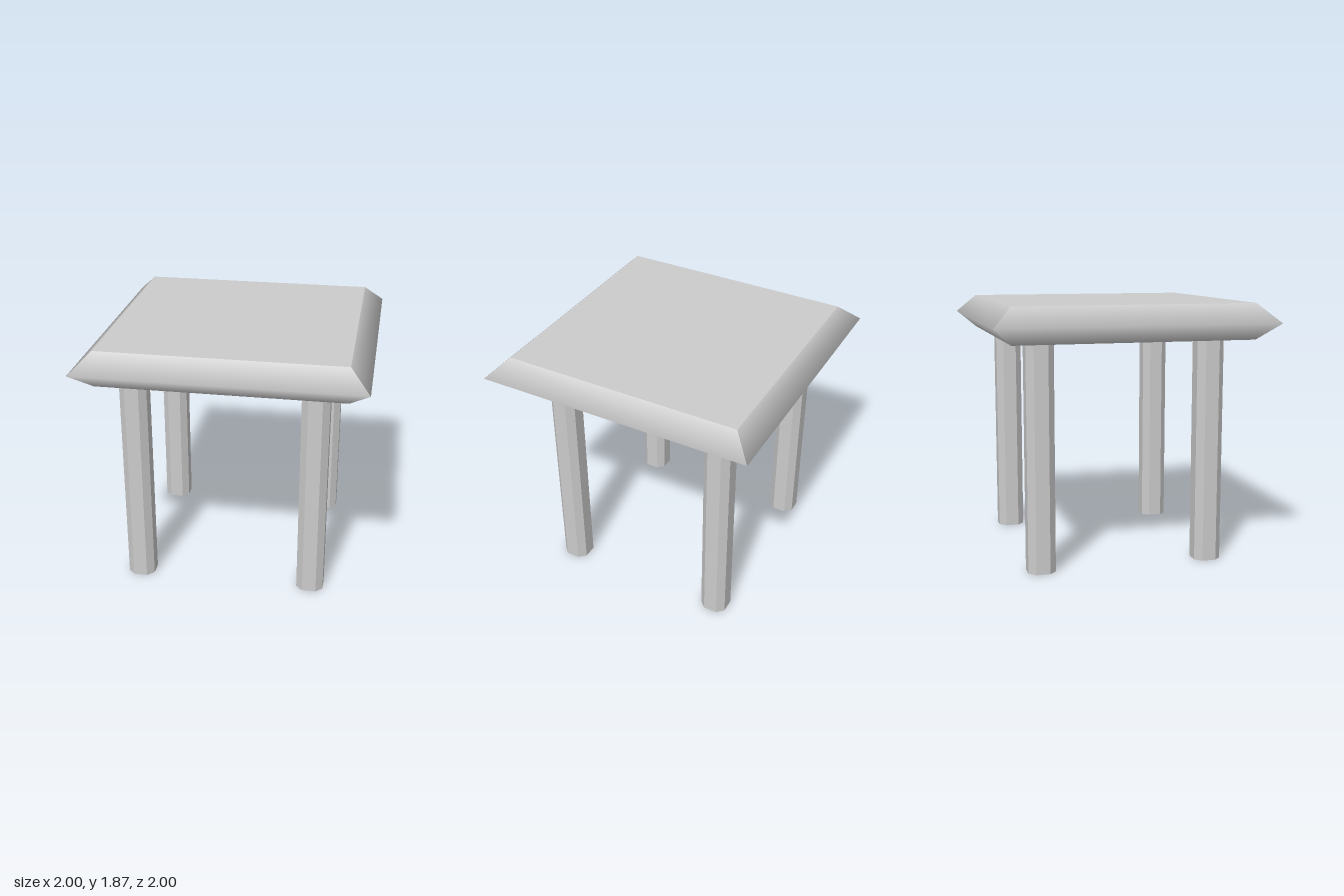
import * as THREE from 'three';

const TOP = 1.87, RIDGE = 1.735, UNDER = 1.615, INSET = 0.86;

// One bevelled side facing +z, shaded smoothly over its ridge
function rimGeometry() {
  const rows = [
    { y: TOP, r: INSET, n: [0, 0.707, 0.707] },
    { y: RIDGE, r: 1, n: [0, 0, 1] },
    { y: UNDER, r: INSET, n: [0, -0.759, 0.651] },
  ];
  const pos = [], nor = [], index = [];
  rows.forEach(({ y, r, n }, i) => {
    pos.push(-r, y, r, r, y, r);
    nor.push(...n, ...n);
    if (i < 2) {
      const a = i * 2;
      index.push(a, a + 2, a + 3, a, a + 3, a + 1);
    }
  });
  const g = new THREE.BufferGeometry();
  g.setAttribute('position', new THREE.Float32BufferAttribute(pos, 3));
  g.setAttribute('normal', new THREE.Float32BufferAttribute(nor, 3));
  g.setIndex(index);
  return g;
}

// Open tube whose section is a square with cut corners
function legGeometry(half, flat, height) {
  const section = [
    [flat, half], [half, flat], [half, -flat], [flat, -half],
    [-flat, -half], [-half, -flat], [-half, flat], [-flat, half],
  ];
  const pos = [], index = [];
  section.forEach(([x, z], i) => {
    pos.push(x, 0, z, x, height, z);
    const a = i * 2, b = ((i + 1) % 8) * 2;
    index.push(a, b, b + 1, a, b + 1, a + 1);
  });
  const g = new THREE.BufferGeometry();
  g.setAttribute('position', new THREE.Float32BufferAttribute(pos, 3));
  g.setIndex(index);
  g.computeVertexNormals();
  return g;
}

export function createModel() {
  const model = new THREE.Group();
  model.name = 'table';
  const smooth = new THREE.MeshStandardMaterial({ color: 0xcccccc });
  const faceted = new THREE.MeshStandardMaterial({
    color: 0xcccccc, flatShading: true, side: THREE.DoubleSide,
  });

  // Table top: four bevelled sides and two flat faces
  const top = new THREE.Group();
  top.name = 'tableTop';
  const rim = rimGeometry();
  ['front', 'left', 'back', 'right'].forEach((side, i) => {
    const mesh = new THREE.Mesh(rim, smooth);
    mesh.name = side + 'Bevel';
    mesh.rotation.y = i * Math.PI / 2;
    top.add(mesh);
  });
  const plate = new THREE.PlaneGeometry(INSET * 2, INSET * 2);
  for (const [name, y, turn] of [['topFace', TOP, -1], ['underside', UNDER, 1]]) {
    const mesh = new THREE.Mesh(plate, smooth);
    mesh.name = name;
    mesh.rotation.x = turn * Math.PI / 2;
    mesh.position.y = y;
    top.add(mesh);
  }
  model.add(top);

  // Four hollow legs, set slightly off centre
  const leg = legGeometry(0.098, 0.05, UNDER);
  for (const [zName, z] of [['front', 0.588], ['back', -0.642]]) {
    for (const [xName, x] of [['Left', 0.628], ['Right', -0.655]]) {
      const mesh = new THREE.Mesh(leg, faceted);
      mesh.name = zName + xName + 'Leg';
      mesh.position.set(x, 0, z);
      model.add(mesh);
    }
  }
  return model;
}
